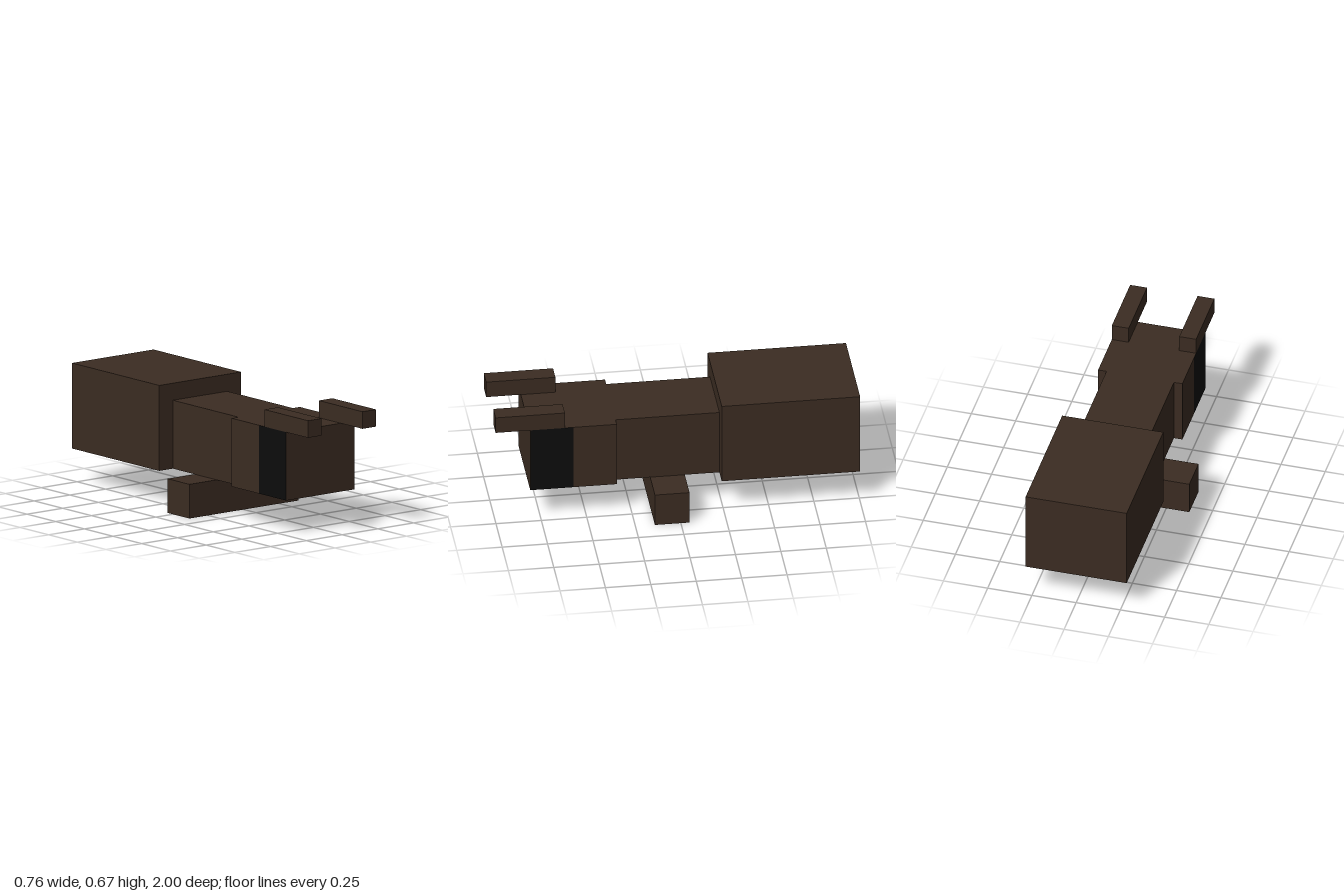
import * as THREE from 'three';

const U = 1 / 21; // block unit: the model is 42 units long

export function createModel() {
  const brown = new THREE.MeshStandardMaterial({ color: 0x3b2c22 });
  brown.name = 'dark brown';
  const black = new THREE.MeshStandardMaterial({ color: 0x0c0c0c });
  black.name = 'near black';

  const group = new THREE.Group();
  group.name = 'blockInsect';

  // Box between two corners in block units; blackFaces lists painted sides
  // (0 left, 1 right, 2 top, 3 bottom, 4 front, 5 back)
  function block(name, [x0, y0, z0], [x1, y1, z1], blackFaces = []) {
    const geo = new THREE.BoxGeometry((x1 - x0) * U, (y1 - y0) * U, (z1 - z0) * U);
    const mats = [0, 1, 2, 3, 4, 5].map((i) => (blackFaces.includes(i) ? black : brown));
    const mesh = new THREE.Mesh(geo, blackFaces.length ? mats : brown);
    mesh.position.set((x0 + x1) * U / 2, (y0 + y1) * U / 2, (z0 + z1) * U / 2);
    mesh.name = name;
    group.add(mesh);
  }

  // Body, from tail to face
  block('abdomen', [-6, 4, -21], [6, 14, -5]);
  block('thorax', [-4, 4, -5], [4, 12, 7]);
  block('headBack', [-5, 4, 7], [5, 12, 12]);
  block('headFrontWithEyes', [-5, 4, 12], [5, 12, 17], [0, 1]); // eyes cover both sides

  // Cross bar of legs with black soles
  block('legs', [-8, 0, -1], [8, 4, 3], [3]);

  // Jaw-like feelers on top of the head, black underneath
  block('leftFeeler', [3, 12, 13], [5, 14, 21], [3]);
  block('rightFeeler', [-5, 12, 13], [-3, 14, 21], [3]);

  return group;
}
